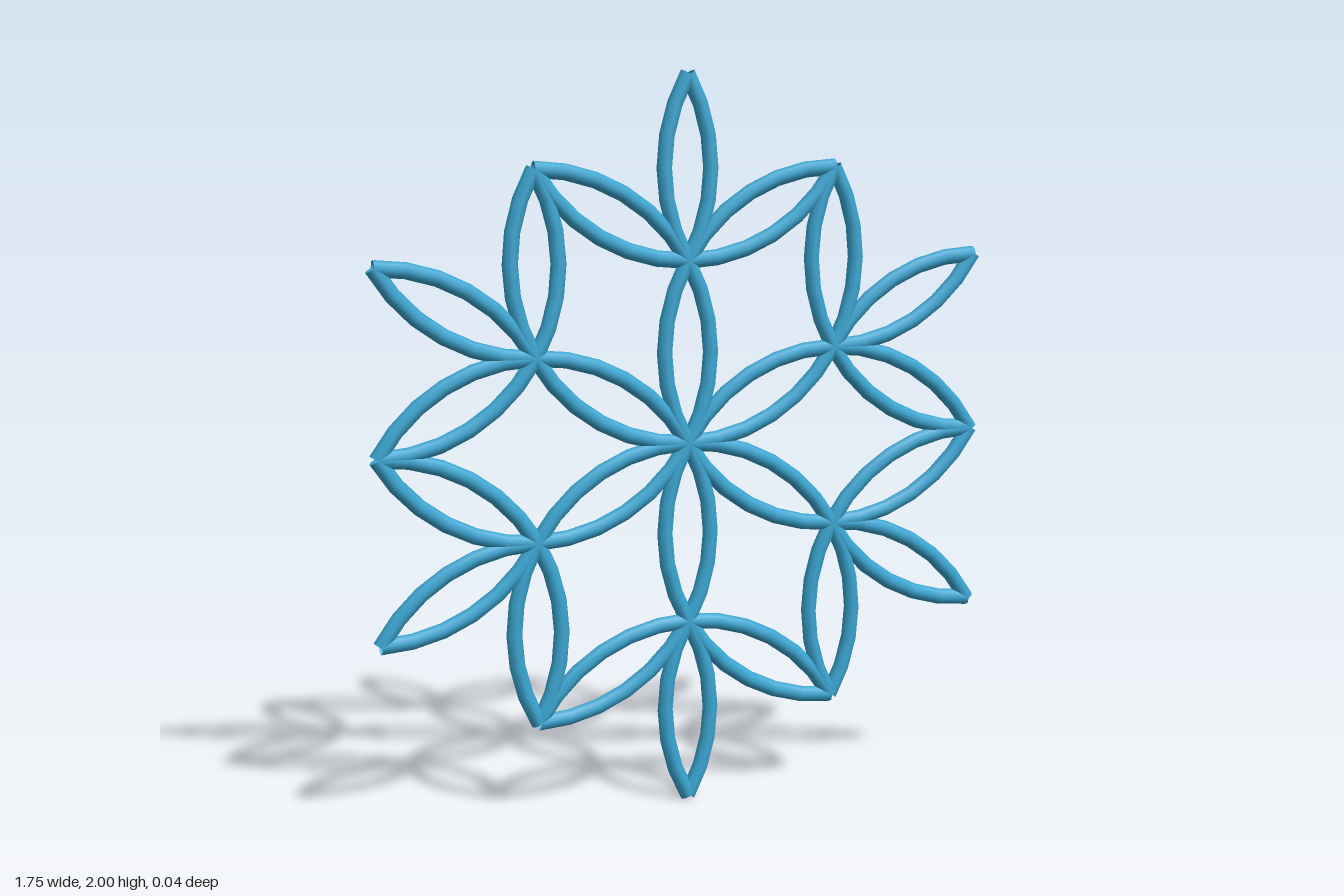
import * as THREE from 'three';

const SPAN = 0.4945; // petal length, also the radius of each arc
const TUBE = 0.022;

// 60 degree arc bulging to +x, running from the origin to (0, SPAN)
class PetalArc extends THREE.Curve {
  getPoint(t, target = new THREE.Vector3()) {
    const a = (t - 0.5) * Math.PI / 3;
    return target.set(
      SPAN * (Math.cos(a) - Math.cos(Math.PI / 6)),
      SPAN * (Math.sin(a) + 0.5),
      0
    );
  }
}

export function createModel() {
  const model = new THREE.Group();
  model.name = 'petalLattice';

  const blue = new THREE.MeshStandardMaterial({ color: 0x3aa6d2, side: THREE.DoubleSide });
  blue.name = 'blue';
  const arc = new THREE.TubeGeometry(new PetalArc(), 6, TUBE, 8, false);

  // Petal: two mirrored arcs meeting at both tips
  function addPetal(parent, name, y, angle) {
    const petal = new THREE.Group();
    petal.name = name;
    for (const side of [0, 1]) {
      const rod = new THREE.Mesh(arc, blue);
      rod.name = side ? 'leftArc' : 'rightArc';
      rod.rotation.y = side * Math.PI;
      petal.add(rod);
    }
    petal.position.y = y;
    petal.rotation.z = angle;
    parent.add(petal);
  }

  // Six branches: one inner petal, then three outer petals fanning from its tip
  for (let i = 0; i < 6; i++) {
    const branch = new THREE.Group();
    branch.name = 'branch' + (i + 1);
    addPetal(branch, 'innerPetal', 0, 0);
    for (const k of [-1, 0, 1]) addPetal(branch, 'outerPetal', SPAN, k * Math.PI / 3);
    branch.position.y = 1;
    branch.rotation.z = i * Math.PI / 3;
    model.add(branch);
  }
  return model;
}
